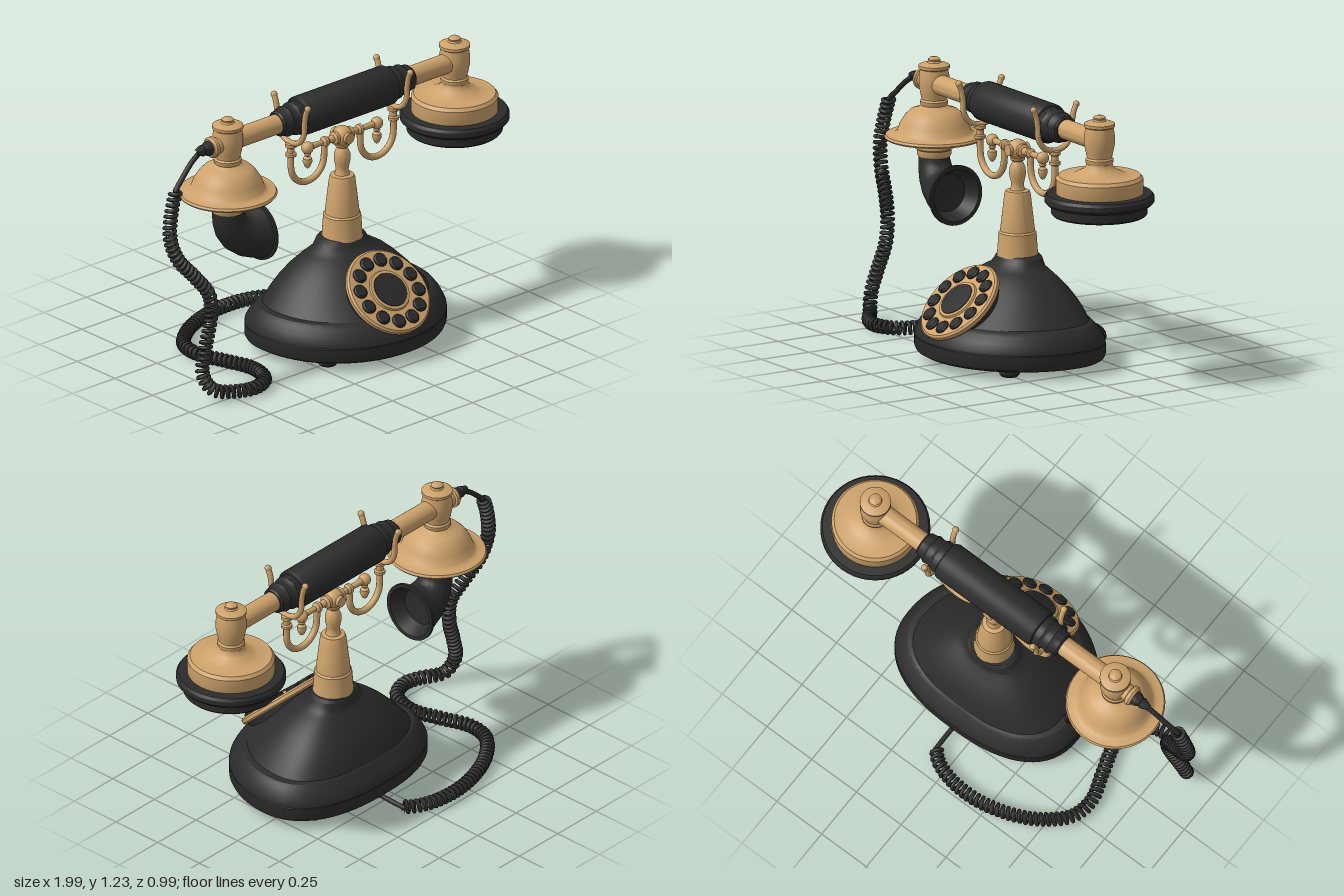
import * as THREE from 'three';
import { toCreasedNormals } from 'three/addons/utils/BufferGeometryUtils.js';

const V = (x, y, z) => new THREE.Vector3(x, y, z);
const AXIS = 0.035; // depth of the column and handset axis

export function createModel() {
  const group = new THREE.Group();
  const gold = new THREE.MeshStandardMaterial({ color: 0xcda26b });
  const black = new THREE.MeshStandardMaterial({ color: 0x2b2b2b });
  gold.name = 'warm brass';
  black.name = 'matte black';

  function add(name, geo, mat, pos = [0, 0, 0], parent = group) {
    const mesh = new THREE.Mesh(geo, mat);
    mesh.name = name;
    mesh.position.set(...pos);
    parent.add(mesh);
    return mesh;
  }
  const lathe = (pts, seg = 40) =>
    toCreasedNormals(new THREE.LatheGeometry(pts.map(p => new THREE.Vector2(...p)), seg), 0.6);
  const tube = (pts, r, n = 32) =>
    new THREE.TubeGeometry(new THREE.CatmullRomCurve3(pts.map(p => V(...p))), n, r, 10);
  const ball = (r) => new THREE.SphereGeometry(r, 20, 14);

  // Skin over a list of equally long closed rings
  function loft(rings) {
    const n = rings[0].length, idx = [];
    for (let j = 0; j < rings.length - 1; j++) {
      for (let i = 0; i < n; i++) {
        const a = j * n + i, b = j * n + (i + 1) % n;
        idx.push(a, b, a + n, b, b + n, a + n);
      }
    }
    const geo = new THREE.BufferGeometry().setFromPoints(rings.flat());
    geo.setIndex(idx);
    return toCreasedNormals(geo, 0.5);
  }

  // Body: egg-shaped levels [y, halfWidth, back z, front z]
  const bodyRing = ([y, w, back, front]) => Array.from({ length: 64 }, (_, i) => {
    const t = i / 64 * Math.PI * 2, c = Math.cos(t), s = -Math.sin(t);
    const e = s > 0 ? 1 : 2 / 2.4;
    const x = Math.sign(c) * Math.abs(c) ** e;
    const z = Math.sign(s) * Math.abs(s) ** e * (s > 0 ? front - 0.03 : 0.03 - back);
    return V(0.09 + w * x, y, 0.03 + z);
  });
  add('base', loft([
    [0.045, 0, 0.03, 0.03], [0.045, 0.45, -0.25, 0.46], [0.055, 0.467, -0.268, 0.478],
    [0.07, 0.475, -0.275, 0.484], [0.12, 0.475, -0.275, 0.485], [0.126, 0.468, -0.268, 0.478],
  ].map(bodyRing)), black);
  add('body', loft([
    [0.124, 0.474, -0.275, 0.484], [0.135, 0.473, -0.274, 0.482], [0.17, 0.458, -0.253, 0.462],
    [0.2, 0.437, -0.228, 0.435], [0.213, 0.42, -0.218, 0.42], [0.217, 0.39, -0.213, 0.41],
    [0.26, 0.355, -0.198, 0.365], [0.3, 0.318, -0.178, 0.322], [0.35, 0.268, -0.144, 0.268],
    [0.39, 0.22, -0.108, 0.222], [0.42, 0.172, -0.08, 0.18], [0.435, 0.142, -0.068, 0.15],
    [0.455, 0.127, -0.064, 0.132], [0.472, 0.118, -0.061, 0.122], [0.482, 0.1, -0.055, 0.115],
    [0.482, 0, 0.03, 0.03],
  ].map(bodyRing)), black);
  for (const x of [-0.2, 0.38]) for (const z of [0.265, -0.115]) {
    add('foot', lathe([[0, 0.012], [0.036, 0.012], [0.045, 0.022], [0.047, 0.05]], 20), black, [x, 0, z]);
  }

  // Tilted dial with finger studs
  const dial = new THREE.Group();
  dial.name = 'dial';
  dial.position.set(0.09, 0.3, 0.34);
  dial.rotation.x = 0.76;
  group.add(dial);
  const D = [0, 0, 0];
  add('dialMount', new THREE.CylinderGeometry(0.19, 0.175, 0.12, 40), black, [0, -0.07, 0], dial);
  add('dialPlate', lathe([[0, -0.02], [0.2, -0.02], [0.207, -0.012], [0.207, 0.004], [0.198, 0.012], [0, 0.012]], 48), gold, D, dial);
  add('dialHubRing', lathe([[0.075, 0.012], [0.1, 0.012], [0.096, 0.021], [0.084, 0.023], [0, 0.023]]), gold, D, dial);
  add('dialHub', lathe([[0.084, 0.02], [0.082, 0.026], [0, 0.029]]), black, D, dial);
  for (let i = 0; i < 12; i++) {
    const a = (i + 0.5) / 12 * Math.PI * 2;
    add('fingerStud', lathe([[0.033, 0.01], [0.033, 0.018], [0.026, 0.025], [0, 0.027]], 16), black,
      [0.152 * Math.cos(a), 0, 0.152 * Math.sin(a)], dial);
  }

  // Column and hub
  add('column', lathe([
    [0.092, 0.475], [0.09, 0.49], [0.084, 0.58], [0.077, 0.588], [0.076, 0.6], [0.058, 0.755],
    [0.053, 0.768], [0.034, 0.772], [0.028, 0.79], [0.03, 0.81], [0.037, 0.84], [0.036, 0.87],
    [0.028, 0.89], [0.022, 0.9], [0.032, 0.908], [0.032, 0.916], [0, 0.92],
  ]), gold, [0.09, 0, AXIS]);
  add('hub', ball(0.046), gold, [0.09, 0.955, AXIS]);
  const boss = add('hubBoss', new THREE.CylinderGeometry(0.026, 0.026, 0.105, 20), gold, [0.09, 0.955, AXIS]);
  boss.rotation.x = Math.PI / 2;

  // Cradle: mirrored arms, drops and forks
  for (const s of [-1, 1]) {
    const arm = new THREE.Group();
    arm.name = s < 0 ? 'rightCradleArm' : 'leftCradleArm';
    arm.position.set(0.09, 0, AXIS);
    group.add(arm);
    const bar = add('crossBar', lathe([
      [0.03, 0.035], [0.03, 0.05], [0.018, 0.058], [0.015, 0.085], [0.024, 0.095], [0.024, 0.11], [0.012, 0.12], [0.016, 0.2],
    ], 20), gold, [0, 0.955, 0], arm);
    bar.rotation.z = -s * Math.PI / 2;
    add('barBall', ball(0.028), gold, [s * 0.205, 0.955, 0], arm);
    add('drop', lathe([
      [0, 0.855], [0.012, 0.865], [0.022, 0.89], [0.02, 0.905], [0.01, 0.915], [0.016, 0.922], [0.012, 0.94],
    ], 20), gold, [s * 0.205, 0, 0], arm);
    const bend = [[s * 0.105, 0.95, 0]];
    for (let i = 0; i <= 10; i++) {
      const a = Math.PI * (1 + i / 10);
      bend.push([s * (0.205 + 0.098 * Math.cos(a)), 0.893 + 0.098 * Math.sin(a), 0]);
    }
    bend.push([s * 0.303, 0.97, 0]);
    add('hook', tube(bend, 0.015, 40), gold, D, arm);
    add('hookCollar', lathe([
      [0.015, 0.94], [0.025, 0.945], [0.025, 0.958], [0.017, 0.963], [0.017, 0.985], [0.026, 0.99], [0.026, 1.005], [0, 1.012],
    ], 20), gold, [s * 0.303, 0, 0], arm);
    add('fork', tube([
      [-0.112, 1.205], [-0.098, 1.17], [-0.09, 1.12], [-0.086, 1.07], [-0.055, 1.025], [0, 1.008],
      [0.055, 1.025], [0.086, 1.07], [0.09, 1.12], [0.098, 1.17], [0.112, 1.205],
    ].map(([z, y]) => [s * 0.303, y, z]), 0.013, 48), gold, D, arm);
    for (const z of [-0.112, 0.112]) add('forkTip', ball(0.015), gold, [s * 0.303, 1.205, z], arm);
  }

  // Handset bar and grip, turned about the x axis
  const along = (name, pts, mat, x) => {
    add(name, lathe(pts), mat, [x, 1.122, AXIS]).rotation.z = -Math.PI / 2;
  };
  along('handsetBar', [[0.045, -0.68], [0.045, 0.66]], gold, 0.093);
  const half = [[0.09, 0.255], [0.083, 0.267], [0.076, 0.27], [0.076, 0.3], [0.07, 0.308],
    [0.066, 0.32], [0.07, 0.345], [0.062, 0.36], [0.058, 0.385], [0.05, 0.393], [0.04, 0.393]];
  along('grip', [...half.map(([r, y]) => [r, -y]).reverse(), ...half], black, 0.093);

  // Both end pieces share one capped barrel profile
  const barrel = [[0.058, 1.022], [0.062, 1.03], [0.062, 1.042], [0.055, 1.05], [0.06, 1.07], [0.068, 1.11],
    [0.068, 1.15], [0.062, 1.185], [0.069, 1.19], [0.069, 1.203], [0.055, 1.21], [0.03, 1.215],
    [0.025, 1.222], [0.028, 1.23], [0.018, 1.238], [0, 1.24]];
  add('mouthpieceBell', lathe([
    [0, 0.79], [0.07, 0.79], [0.076, 0.8], [0.076, 0.822], [0.088, 0.83], [0.088, 0.87], [0.215, 0.872],
    [0.221, 0.88], [0.215, 0.89], [0.18, 0.893], [0.165, 0.905], [0.152, 0.94], [0.13, 0.975],
    [0.105, 1.0], [0.075, 1.008], ...barrel,
  ], 48), gold, [-0.587, 0, AXIS]);
  add('earpieceBody', lathe([
    [0.19, 0.87], [0.194, 0.88], [0.194, 0.955], [0.182, 0.97], [0.12, 0.972], [0.105, 0.98], [0.075, 0.995], [0.06, 1.012], ...barrel,
  ], 48), gold, [0.755, 0, AXIS]);
  add('earpieceRim', lathe([
    [0, 0.85], [0.09, 0.845], [0.17, 0.815], [0.185, 0.792], [0.205, 0.789], [0.213, 0.797], [0.214, 0.838],
    [0.232, 0.84], [0.243, 0.852], [0.243, 0.875], [0.234, 0.888], [0.19, 0.89],
  ], 48), black, [0.755, 0, AXIS]);

  // Curved horn: rings [x, y, heading, radius], then back into the mouth
  add('horn', loft([
    [-0.587, 0.81, -1.57, 0.068], [-0.586, 0.775, -1.54, 0.07], [-0.578, 0.74, -1.3, 0.075],
    [-0.56, 0.705, -1.0, 0.083], [-0.53, 0.675, -0.65, 0.093], [-0.49, 0.655, -0.3, 0.105],
    [-0.45, 0.647, -0.08, 0.117], [-0.422, 0.645, 0, 0.125], [-0.42, 0.645, 0, 0.136], [-0.407, 0.645, 0, 0.136],
    [-0.407, 0.645, 0, 0.118], [-0.43, 0.645, 0, 0.105], [-0.47, 0.645, 0, 0.085], [-0.48, 0.645, 0, 0],
  ].map(([x, y, a, r]) => Array.from({ length: 36 }, (_, i) => {
    const t = i / 36 * Math.PI * 2, u = r * Math.cos(t);
    return V(x - u * Math.sin(a), y + u * Math.cos(a), AXIS + r * Math.sin(t));
  }))), black);

  // Cord socket and smooth cord ends
  along('cordSocket', [[0, -0.11], [0.04, -0.11], [0.048, -0.1], [0.048, -0.085], [0.038, -0.08], [0.038, -0.04]], gold, -0.587);
  along('cordSleeve', [[0.012, -0.19], [0.02, -0.17], [0.026, -0.15], [0.022, -0.145], [0.032, -0.125], [0.034, -0.1]], black, -0.587);
  add('upperCord', tube([[-0.75, 1.118, 0.035], [-0.8, 1.09, 0.04], [-0.87, 1.03, 0.05], [-0.915, 0.985, 0.06], [-0.915, 0.96, 0.065]], 0.012), black);
  add('lowerCord', tube([[0.09, 0.04, -0.4], [0.092, 0.042, -0.34], [0.092, 0.045, -0.27], [0.09, 0.05, -0.18]], 0.011), black);

  // Coiled cord: a helix wound around a guide path
  const path = new THREE.CatmullRomCurve3([
    [-0.915, 0.99, 0.06], [-0.945, 0.9, 0.065], [-0.963, 0.78, 0.075], [-0.93, 0.67, 0.09], [-0.86, 0.58, 0.115],
    [-0.795, 0.48, 0.145], [-0.795, 0.37, 0.155], [-0.84, 0.24, 0.17], [-0.868, 0.13, 0.185], [-0.83, 0.055, 0.215],
    [-0.74, 0.042, 0.275], [-0.65, 0.042, 0.295], [-0.56, 0.042, 0.25], [-0.52, 0.042, 0.13], [-0.56, 0.042, -0.02],
    [-0.6, 0.042, -0.15], [-0.58, 0.042, -0.26], [-0.48, 0.042, -0.36], [-0.34, 0.042, -0.43], [-0.18, 0.042, -0.465],
    [-0.04, 0.042, -0.455], [0.05, 0.042, -0.42], [0.09, 0.042, -0.38],
  ].map(p => V(...p)));
  path.arcLengthDivisions = 600;
  const N = 500, frames = path.computeFrenetFrames(N);
  const turns = Math.round(path.getLength() / 0.025);
  class Coil extends THREE.Curve {
    getPoint(t, out = V(0, 0, 0)) {
      const u = Math.min(Math.max(t, 0), 1), k = Math.min(Math.floor(u * N), N - 1), f = u * N - k;
      const n = frames.normals[k].clone().lerp(frames.normals[k + 1], f);
      const b = frames.binormals[k].clone().lerp(frames.binormals[k + 1], f);
      const a = u * turns * Math.PI * 2;
      return out.copy(path.getPointAt(u)).addScaledVector(n, 0.025 * Math.cos(a)).addScaledVector(b, 0.025 * Math.sin(a));
    }
    getPointAt(t, out) { return this.getPoint(t, out); }
    getTangentAt(t, out) { return this.getTangent(t, out); }
  }
  add('coiledCord', new THREE.TubeGeometry(new Coil(), turns * 12, 0.009, 6), black);

  return group;
}
